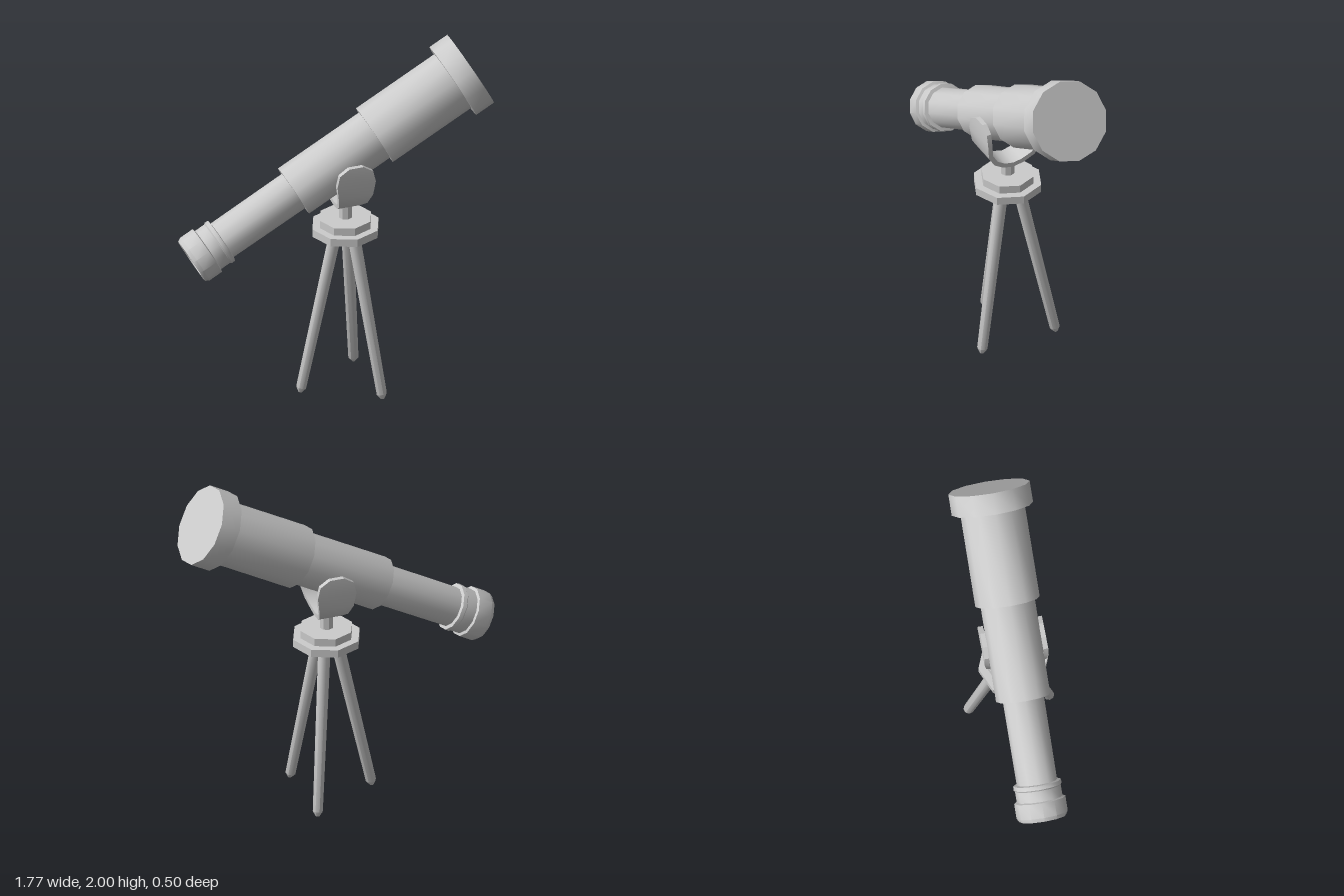
import * as THREE from 'three';
import { toCreasedNormals } from 'three/addons/utils/BufferGeometryUtils.js';

const material = new THREE.MeshStandardMaterial({ color: 0xcccccc });
const MOUNT_X = 0.06; // vertical axis of the stand

function addMesh(parent, name, geometry, crease) {
  const mesh = new THREE.Mesh(toCreasedNormals(geometry, crease), material);
  mesh.name = name;
  parent.add(mesh);
  return mesh;
}

function lathe(profile, sides) {
  return new THREE.LatheGeometry(profile.map(([r, y]) => new THREE.Vector2(r, y)), sides);
}

// U-shaped cradle: a strap of varying width swept across z
function yokeGeometry() {
  // z, y, half width, inward normal (z, y)
  const half = [
    [0.173, 1.42, 0.04, -1, 0],
    [0.175, 1.385, 0.095, -1, 0],
    [0.175, 1.32, 0.11, -1, 0],
    [0.164, 1.235, 0.098, -0.95, 0.3],
    [0.12, 1.165, 0.082, -0.7, 0.7],
    [0.06, 1.123, 0.068, -0.4, 0.92],
  ];
  const mirrored = half.map(([z, y, w, nz, ny]) => [-z, y, w, -nz, ny]).reverse();
  const stations = [...half, [0, 1.11, 0.065, 0, 1], ...mirrored];
  const t = 0.026;
  const positions = [];
  const index = [];
  stations.forEach(([z, y, w, nz, ny], i) => {
    const zi = z + nz * t, yi = y + ny * t;
    positions.push(-w, y, z, w, y, z, w, yi, zi, -w, yi, zi);
    if (i === 0) return;
    const a = (i - 1) * 4, b = i * 4;
    for (let k = 0; k < 4; k++) {
      const n = (k + 1) % 4;
      index.push(a + k, b + k, b + n, a + k, b + n, a + n);
    }
  });
  const e = (stations.length - 1) * 4;
  index.push(0, 1, 2, 0, 2, 3, e, e + 2, e + 1, e, e + 3, e + 2);
  const geometry = new THREE.BufferGeometry();
  geometry.setAttribute('position', new THREE.Float32BufferAttribute(positions, 3));
  geometry.setIndex(index);
  return geometry;
}

export function createModel() {
  const model = new THREE.Group();
  model.name = 'telescope';

  // Optical tube, drawn from the eyepiece up to the front cap
  const tube = new THREE.Group();
  tube.name = 'opticalTube';
  tube.position.set(-0.823, 0.928, 0);
  tube.rotation.z = THREE.MathUtils.degToRad(28.7 - 90);
  model.add(tube);
  addMesh(tube, 'eyepiece', lathe([
    [0, 0.04], [0.09, 0.04], [0.095, 0], [0.128, 0], [0.14, 0.022], [0.14, 0.103],
    [0.125, 0.108], [0.125, 0.168], [0.132, 0.175], [0.13, 0.197], [0.11, 0.2],
  ], 12), 0.6);
  addMesh(tube, 'drawTubes', lathe([
    [0.11, 0.2], [0.112, 0.667], [0.148, 0.667], [0.148, 1.196],
    [0.176, 1.196], [0.176, 1.708],
  ], 12), 0.6);
  addMesh(tube, 'frontCap', lathe([
    [0.176, 1.708], [0.2225, 1.708], [0.2225, 1.825], [0, 1.825],
  ], 12), 0.6);

  // Cradle, post and stepped octagonal plates
  const stand = new THREE.Group();
  stand.name = 'stand';
  stand.position.x = MOUNT_X;
  model.add(stand);
  addMesh(stand, 'yoke', yokeGeometry(), 0.5);
  for (const [name, radius, bottom, top] of [
    ['lowerPlate', 0.19, 0.945, 0.99],
    ['upperPlate', 0.147, 0.99, 1.035],
    ['post', 0.038, 1.035, 1.125],
  ]) {
    const plate = addMesh(stand, name,
      new THREE.CylinderGeometry(radius, radius, top - bottom, 8), 0.6);
    plate.position.y = (bottom + top) / 2;
  }

  // Three splayed legs with pointed feet
  const up = new THREE.Vector3(0, 1, 0);
  for (let i = 0; i < 3; i++) {
    const angle = Math.PI + (i * Math.PI * 2) / 3;
    const at = (r, y) => new THREE.Vector3(r * Math.cos(angle), y, r * Math.sin(angle));
    const foot = at(0.26, 0.004);
    const span = at(0.055, 0.95).sub(foot);
    const leg = addMesh(stand, 'leg', lathe([
      [0, 0], [0.01, 0], [0.029, 0.03], [0.036, span.length()], [0, span.length()],
    ], 8), 0.9);
    leg.position.copy(foot);
    leg.quaternion.setFromUnitVectors(up, span.normalize());
  }
  return model;
}
